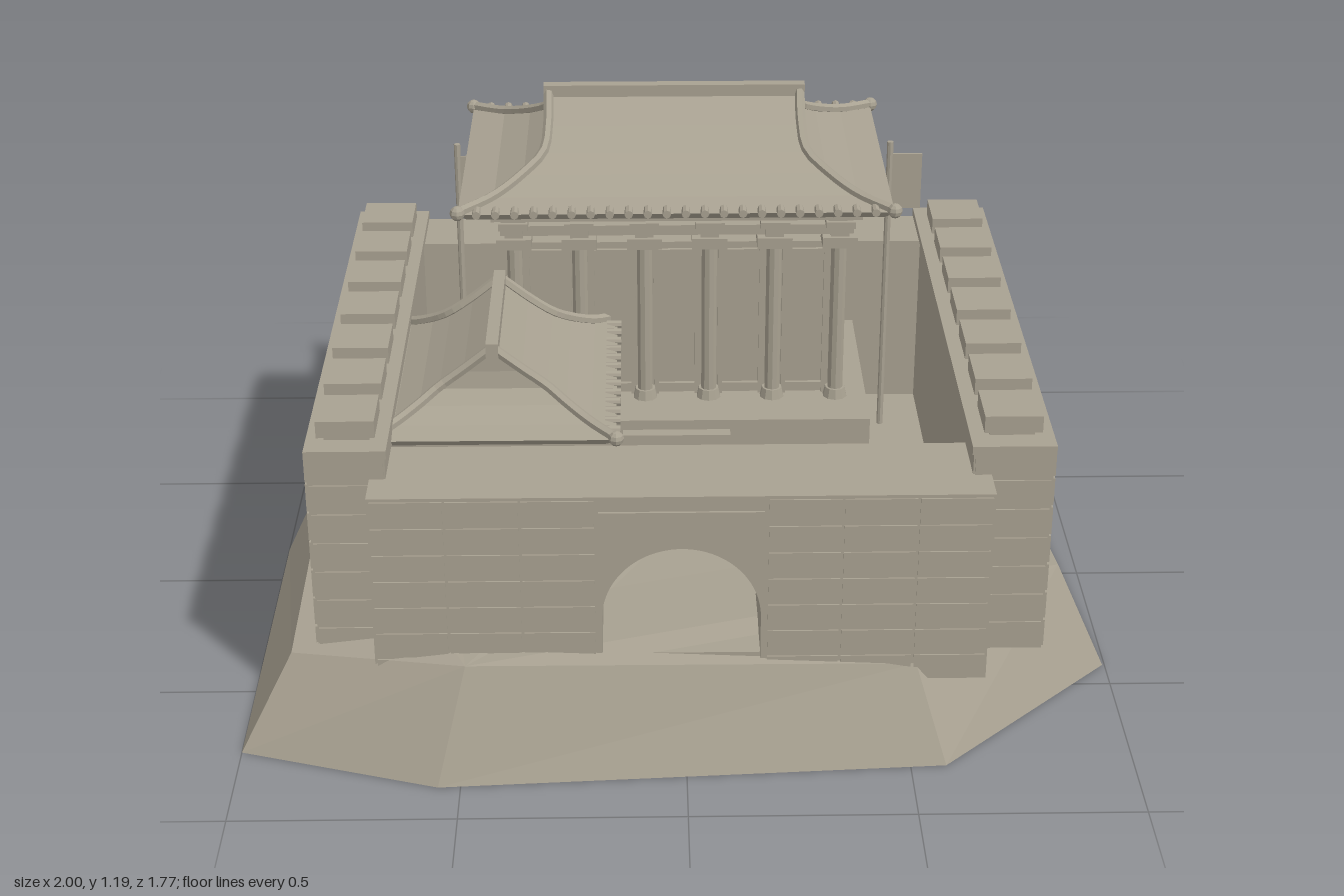
import * as THREE from 'three';

const stone = new THREE.MeshStandardMaterial({ color: 0xa8a191 });
stone.name = 'weathered stone';
stone.flatShading = true;

function add(parent, name, geometry, x = 0, y = 0, z = 0) {
  const mesh = new THREE.Mesh(geometry, stone);
  mesh.name = name;
  mesh.position.set(x, y, z);
  parent.add(mesh);
  return mesh;
}

// Box given by its lower and upper limits
function block(parent, name, x0, x1, y0, y1, z0, z1) {
  return add(parent, name, new THREE.BoxGeometry(x1 - x0, y1 - y0, z1 - z0),
    (x0 + x1) / 2, (y0 + y1) / 2, (z0 + z1) / 2);
}

function group(parent, name) {
  const g = new THREE.Group();
  g.name = name;
  parent.add(g);
  return g;
}

// Closed surface through a list of rings, lowest first, each running from +z towards +x
function loft(rings) {
  const pos = [], n = rings[0].length;
  const tri = (a, b, c) => pos.push(...a, ...b, ...c);
  for (let r = 0; r + 1 < rings.length; r++) {
    for (let i = 0; i < n; i++) {
      const j = (i + 1) % n, A = rings[r], B = rings[r + 1];
      tri(A[i], A[j], B[j]);
      tri(A[i], B[j], B[i]);
    }
  }
  const bottom = rings[0], top = rings[rings.length - 1];
  for (let i = 1; i + 1 < n; i++) {
    tri(bottom[0], bottom[i + 1], bottom[i]);
    tri(top[0], top[i], top[i + 1]);
  }
  const g = new THREE.BufferGeometry();
  g.setAttribute('position', new THREE.Float32BufferAttribute(pos, 3));
  g.computeVertexNormals();
  return g;
}

// Curved hipped roof with its ridge along x; half lengths a (eave), ridge, and b across
function roof(parent, name, a, ridge, b, rise, bead) {
  const g = group(parent, name);
  const profile = [[1, 1, 0], [0.8, 0.6, 0.08], [0.6, 0.27, 0.25], [0.44, 0.05, 0.43], [0.24, 0, 0.68], [0.01, 0, 1]]
    .map(([across, along, h]) => [ridge + (a - ridge) * along, b * across, rise * h]);
  const ring = (x, z, y) => [[-x, y, z], [x, y, z], [x, y, -z], [-x, y, -z]];
  add(g, 'roofTiles', loft([ring(a - 0.02, b - 0.02, -0.02), ...profile.map(([x, z, y]) => ring(x, z, y))]));
  for (const sx of [-1, 1]) for (const sz of [-1, 1]) {
    const path = new THREE.CatmullRomCurve3(profile.map(([x, z, y]) => new THREE.Vector3(sx * x, y + 0.006, sz * z)));
    add(g, 'hipRidge', new THREE.TubeGeometry(path, 16, 0.012, 6));
    add(g, 'hipEnd', new THREE.SphereGeometry(0.018, 8, 6), sx * a, 0.004, sz * b);
  }
  block(g, 'ridgeBeam', -ridge - 0.012, ridge + 0.012, rise - 0.015, rise + 0.022, -0.014, 0.014);
  // Round tile ends along the two long eaves
  const count = Math.round(2 * a / bead);
  for (let i = 1; i < count; i++) for (const s of [-1, 1]) {
    const tile = add(g, 'tileEnd', new THREE.CylinderGeometry(0.01, 0.01, 0.035, 8), -a + 2 * a * i / count, 0.002, s * (b - 0.008));
    tile.rotation.x = Math.PI / 2;
  }
  return g;
}

// Thin courses of stone on a wall face, facing +z before turning
function courses(parent, width, y0, y1, cols, rows, x, z, turn = 0) {
  const g = group(parent, 'stoneCourses');
  const w = width / cols, h = (y1 - y0) / rows;
  for (let r = 0; r < rows; r++) for (let c = 0; c < cols; c++) {
    add(g, 'stoneBlock', new THREE.BoxGeometry(w - 0.006, h - 0.006, 0.009),
      -width / 2 + w * (c + 0.5), y0 + h * (r + 0.5), 0);
  }
  g.position.set(x, 0, z);
  g.rotation.y = turn;
}

// Column with its stacked eave brackets
function column(parent, x, z, y0, top, r) {
  const g = group(parent, 'column');
  add(g, 'columnShaft', new THREE.CylinderGeometry(r, r, top - y0, 10), x, (y0 + top) / 2, z);
  add(g, 'columnFoot', new THREE.CylinderGeometry(r * 1.3, r * 1.6, 0.025, 10), x, y0 + 0.012, z);
  return g;
}

export function createModel() {
  const model = new THREE.Group();
  model.name = 'walledGateCourt';

  // Rocky base: eight-sided, with a narrower uneven top
  const outline = [[-0.55, 0.885], [0.58, 0.82], [0.995, 0.42], [0.9, -0.65],
    [0.42, -0.89], [-0.77, -0.79], [-1, -0.15], [-1, 0.745]];
  add(model, 'rockBase', loft([
    outline.map(([x, z]) => [x, 0, z]),
    outline.map(([x, z], i) => [x * 0.885, i % 2 ? 0.21 : 0.25, z * 0.885]),
  ]));

  // Courtyard floor and gate threshold
  block(model, 'courtyardFloor', -0.66, 0.64, 0.19, 0.24, -0.55, 0.5);
  block(model, 'gateFloor', -0.2, 0.18, 0.19, 0.24, 0.49, 0.72);

  // Side walls with merlons
  for (const [x0, x1, face, turn] of [[-0.83, -0.65, -0.827, -1], [0.625, 0.81, 0.807, 1]]) {
    const wall = group(model, 'sideWall');
    block(wall, 'wallCore', x0 + 0.004, x1 - 0.004, 0.19, 0.705, -0.688, 0.635);
    block(wall, 'wallTop', x0, x1, 0.69, 0.71, -0.69, 0.64);
    courses(wall, 1.32, 0.19, 0.7, 8, 7, face, -0.027, turn * Math.PI / 2);
    courses(wall, x1 - x0 - 0.01, 0.19, 0.7, 1, 7, (x0 + x1) / 2, 0.634);
    for (let i = 0; i < 7; i++) {
      const x = (x0 + x1) / 2, z = -0.55 + i * 0.1817;
      block(wall, 'merlonNeck', x - 0.05, x + 0.05, 0.705, 0.73, z - 0.045, z + 0.045);
      block(wall, 'merlonCap', x - 0.064, x + 0.064, 0.725, 0.765, z - 0.064, z + 0.064);
    }
  }

  // Back wall
  const back = group(model, 'backWall');
  block(back, 'wallCore', -0.8, 0.78, 0.2, 0.685, -0.694, -0.53);
  courses(back, 1.6, 0.2, 0.68, 9, 7, -0.01, -0.694, Math.PI);

  // Front gate wall with an arched passage
  const gate = group(model, 'gateWall');
  const shape = new THREE.Shape();
  shape.moveTo(-0.69, 0.17);
  shape.lineTo(-0.185, 0.17);
  shape.lineTo(-0.185, 0.335);
  shape.absarc(-0.01, 0.335, 0.175, Math.PI, 0, true);
  shape.lineTo(0.165, 0.17);
  shape.lineTo(0.67, 0.17);
  shape.lineTo(0.67, 0.64);
  shape.lineTo(-0.69, 0.64);
  add(gate, 'archedWall', new THREE.ExtrudeGeometry(shape, { depth: 0.236, bevelEnabled: false, curveSegments: 24 }), 0, 0, 0.49);
  for (const x of [-0.442, 0.422]) courses(gate, 0.49, 0.17, 0.635, 3, 7, x, 0.725);
  for (const s of [-1, 1]) {
    const corner = new THREE.Shape([[0, 0.545], [0, 0.6], [-0.09, 0.6]].map(([x, y]) => new THREE.Vector2(s * x, y)));
    add(gate, 'archCorner', new THREE.ExtrudeGeometry(corner, { depth: 0.006, bevelEnabled: false }), -0.01 + s * 0.18, 0, 0.725);
  }
  block(gate, 'archLintel', -0.19, 0.17, 0.596, 0.604, 0.72, 0.732);

  // Podium and stairs
  block(model, 'hallPodium', -0.48, 0.46, 0.2, 0.46, -0.6, 0.03);
  for (let i = 0; i < 7; i++) {
    block(model, 'stairStep', -0.14, 0.12, 0.22, 0.27 + i * 0.0275, 0.02, 0.24 - i * 0.03);
  }

  // Main hall
  const hall = group(model, 'mainHall');
  const cx = -0.007, cz = -0.337;
  block(hall, 'hallWalls', -0.385, 0.372, 0.45, 0.865, -0.555, -0.125);
  for (const s of [-1, 1]) {
    const z = cz + s * 0.235;
    for (let i = 0; i < 6; i++) {
      const x = cx - 0.39 + i * 0.156;
      column(hall, x, z, 0.46, 0.88, 0.019);
      block(hall, 'lowerBracket', x - 0.042, x + 0.042, 0.87, 0.897, z - 0.035, z + 0.035);
      block(hall, 'bracketBlock', x - 0.022, x + 0.022, 0.895, 0.945, z - 0.025, z + 0.025);
      block(hall, 'upperBracket', x - 0.035, x + 0.035, 0.925, 0.942, z - 0.045, z + 0.045);
      block(hall, 'rafterBlock', x - 0.02, x + 0.02, 0.955, 0.985, z - 0.05, z + 0.05);
      // Framed panels between the columns
      if (i < 5) {
        const face = cz + s * 0.214, mid = x + 0.078;
        for (const e of [-0.05, 0.05]) block(hall, 'panelPost', mid + e - 0.006, mid + e + 0.006, 0.46, 0.85, face - 0.008, face + 0.008);
        for (const y of [0.48, 0.84]) block(hall, 'panelRail', mid - 0.05, mid + 0.05, y - 0.008, y + 0.008, face - 0.007, face + 0.007);
      }
    }
    block(hall, 'longBeam', -0.43, 0.416, 0.9, 0.925, z - 0.016, z + 0.016);
    block(hall, 'eaveBeam', -0.45, 0.436, 0.942, 0.96, z - 0.03, z + 0.03);
    const x = cx + s * 0.39;
    block(hall, 'crossBeam', x - 0.016, x + 0.016, 0.888, 0.925, cz - 0.25, cz + 0.25);
    block(hall, 'endEaveBeam', x - 0.03, x + 0.03, 0.942, 0.96, cz - 0.27, cz + 0.27);
  }
  roof(hall, 'hallRoof', 0.512, 0.305, 0.352, 0.172, 0.045).position.set(-0.01, 0.998, cz);

  // Side house, its ridge running front to back
  const house = group(model, 'sideHouse');
  const hx = -0.43, hz = 0.165;
  block(house, 'houseStep', -0.65, -0.2, 0.23, 0.27, -0.06, 0.39);
  block(house, 'houseWalls', -0.62, -0.25, 0.26, 0.59, -0.02, 0.35);
  for (let i = 0; i < 4; i++) {
    const z = hz - 0.195 + i * 0.13;
    column(house, hx + 0.2, z, 0.27, 0.6, 0.014);
    block(house, 'houseBracket', hx + 0.165, hx + 0.235, 0.585, 0.605, z - 0.028, z + 0.028);
  }
  for (const s of [-1, 1]) {
    block(house, 'houseBeam', hx + s * 0.2 - 0.015, hx + s * 0.2 + 0.015, 0.6, 0.635, hz - 0.23, hz + 0.23);
    block(house, 'houseCrossBeam', hx - 0.2, hx + 0.2, 0.6, 0.635, hz + s * 0.195 - 0.015, hz + s * 0.195 + 0.015);
  }
  const houseRoof = roof(house, 'houseRoof', 0.32, 0.19, 0.278, 0.16, 0.045);
  houseRoof.position.set(hx, 0.651, hz);
  houseRoof.rotation.y = Math.PI / 2;

  // Banners on poles either side of the hall
  for (const x of [-0.545, 0.525]) {
    const banner = group(model, 'banner');
    add(banner, 'bannerPole', new THREE.CylinderGeometry(0.008, 0.008, 0.79, 8), x, 0.63, -0.367);
    block(banner, 'bannerCloth', x + 0.006, x + 0.08, 0.848, 0.993, -0.37, -0.364);
  }
  return model;
}
